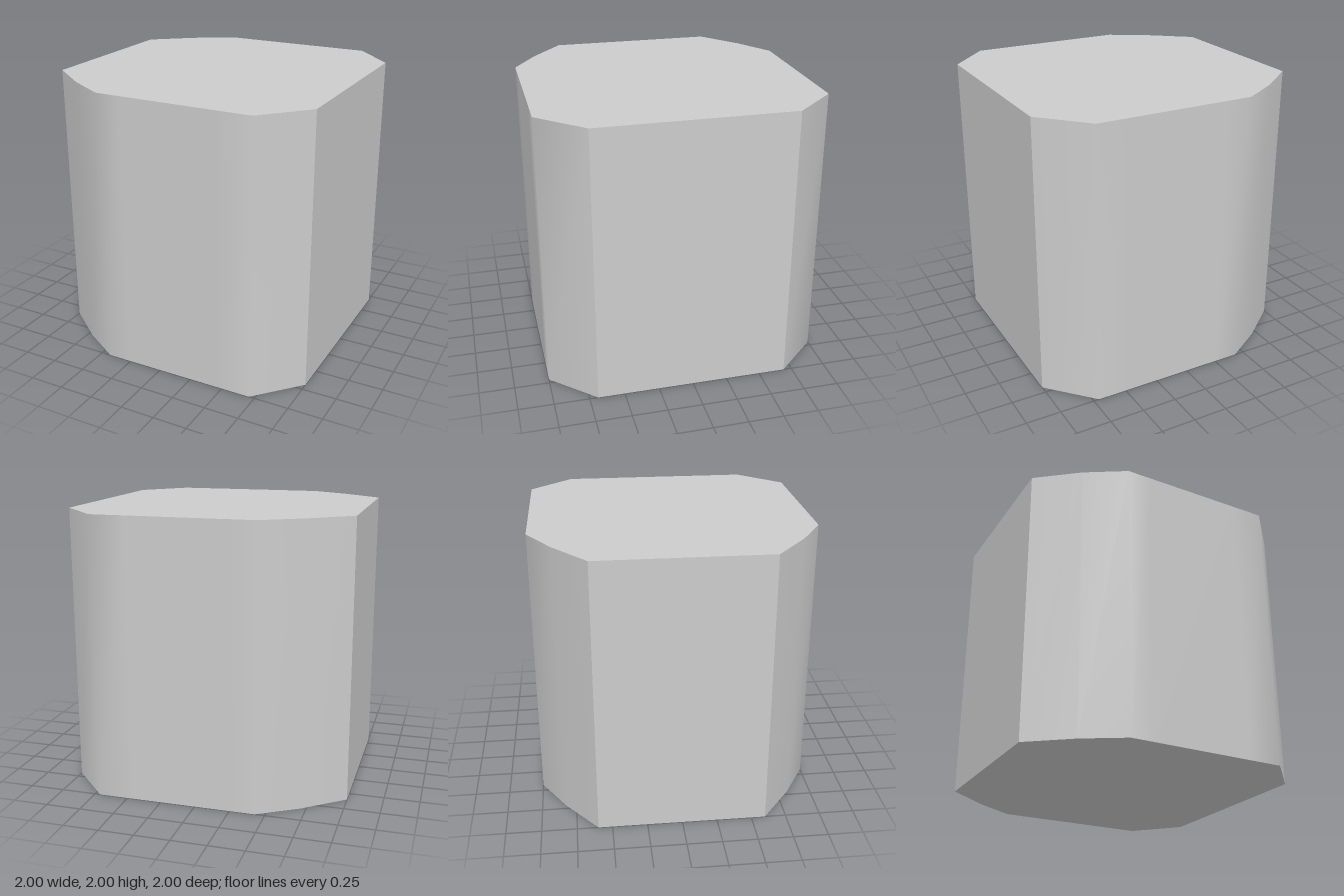
import * as THREE from 'three';

const HEIGHT = 2;
// Front half of the outline as [x, z], from -x to +x; the back half mirrors it
const FRONT = [[-1, 0.6], [-0.71, 0.83], [-0.43, 1], [-0.25, 1], [0.46, 1], [0.71, 1], [1, 0.69]];
const BACK = FRONT.map(([x, z]) => [x, -z]).reverse();

// Upright wall along a run of outline points, smooth from point to point
function wall(points) {
  const n = points.length;
  const geo = new THREE.PlaneGeometry(1, 1, n - 1, 1);
  const pos = geo.attributes.position;
  for (let i = 0; i < pos.count; i++) {
    const [x, z] = points[i % n];
    pos.setXYZ(i, x, i < n ? HEIGHT : 0, z);
  }
  geo.computeVertexNormals();
  return geo;
}

export function createModel() {
  const model = new THREE.Group();
  model.name = 'chamferedBlock';
  const material = new THREE.MeshStandardMaterial({ color: 0xcccccc });
  const add = (name, geometry) => {
    const mesh = new THREE.Mesh(geometry, material);
    mesh.name = name;
    model.add(mesh);
  };

  // Smooth front and back walls with their chamfers
  add('frontWall', wall(FRONT));
  add('backWall', wall(BACK));

  // Flat side walls, meeting the chamfers at a sharp edge
  add('leftWall', wall([FRONT.at(-1), BACK[0]]));
  add('rightWall', wall([BACK.at(-1), FRONT[0]]));

  // Flat caps
  const outline = new THREE.Shape([...FRONT, ...BACK].map(([x, z]) => new THREE.Vector2(x, -z)));
  add('topCap', new THREE.ShapeGeometry(outline).rotateX(-Math.PI / 2).translate(0, HEIGHT, 0));
  add('bottomCap', new THREE.ShapeGeometry(outline).rotateX(Math.PI / 2));

  return model;
}
